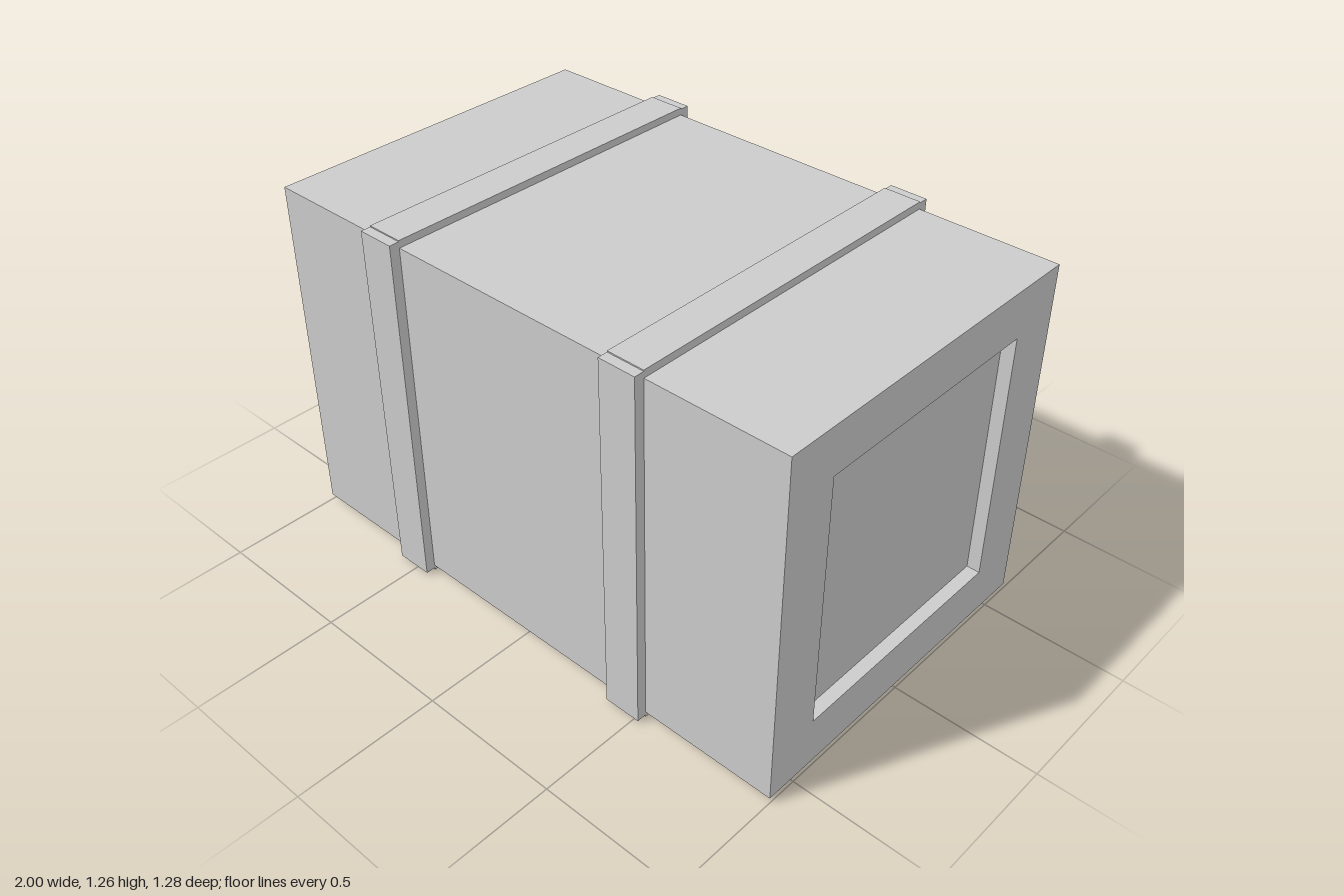
import * as THREE from 'three';

const material = new THREE.MeshStandardMaterial({ color: 0xcccccc, flatShading: true });

// Box-like shell lofted through rectangles [x, bottom, top, halfDepth], capped at both ends
function loftRectangles(sections) {
  const positions = [];
  const quad = (a, b, c, d) => positions.push(...a, ...b, ...c, ...a, ...c, ...d);
  const rings = sections.map(([x, y0, y1, z]) => [[x, y0, z], [x, y0, -z], [x, y1, -z], [x, y1, z]]);
  for (let i = 0; i < rings.length - 1; i++) {
    for (let k = 0; k < 4; k++) {
      const n = (k + 1) % 4;
      quad(rings[i][k], rings[i][n], rings[i + 1][n], rings[i + 1][k]);
    }
  }
  const [a, b, c, d] = rings[0];
  quad(d, c, b, a);
  quad(...rings[rings.length - 1]);
  const geometry = new THREE.BufferGeometry();
  geometry.setAttribute('position', new THREE.Float32BufferAttribute(positions, 3));
  geometry.computeVertexNormals();
  return geometry;
}

function addBox(parent, name, [w, h, d], [x, y, z]) {
  const mesh = new THREE.Mesh(new THREE.BoxGeometry(w, h, d), material);
  mesh.name = name;
  mesh.position.set(x, y, z);
  parent.add(mesh);
}

export function createModel() {
  const model = new THREE.Group();
  model.name = 'crate';

  // Crate body with a shallow square recess in each end
  const bottom = 0.02, top = 1.24, half = 0.607;
  const outer = [bottom, top, half];
  const inner = [0.19, 1.075, 0.425];
  const floorX = 0.955;
  const body = new THREE.Mesh(loftRectangles([
    [-floorX, ...inner], [-1, ...inner], [-1, ...outer],
    [1, ...outer], [1, ...inner], [floorX, ...inner],
  ]), material);
  body.name = 'crateBody';
  model.add(body);

  // Two straps, each made of four flat plates around the body
  const strapTop = 1.265, strapHalf = 0.641, width = 0.13;
  for (const [name, x] of [['rightStrap', -0.512], ['leftStrap', 0.455]]) {
    const strap = new THREE.Group();
    strap.name = name;
    strap.position.x = x;
    addBox(strap, 'topPlate', [width, strapTop - top, 2 * half], [0, (strapTop + top) / 2, 0]);
    addBox(strap, 'bottomPlate', [width, bottom, 2 * half], [0, bottom / 2, 0]);
    for (const side of [1, -1]) {
      addBox(strap, side > 0 ? 'frontPlate' : 'backPlate',
        [width, 1.253, strapHalf - half], [0, 0.6345, side * (strapHalf + half) / 2]);
    }
    model.add(strap);
  }
  return model;
}
